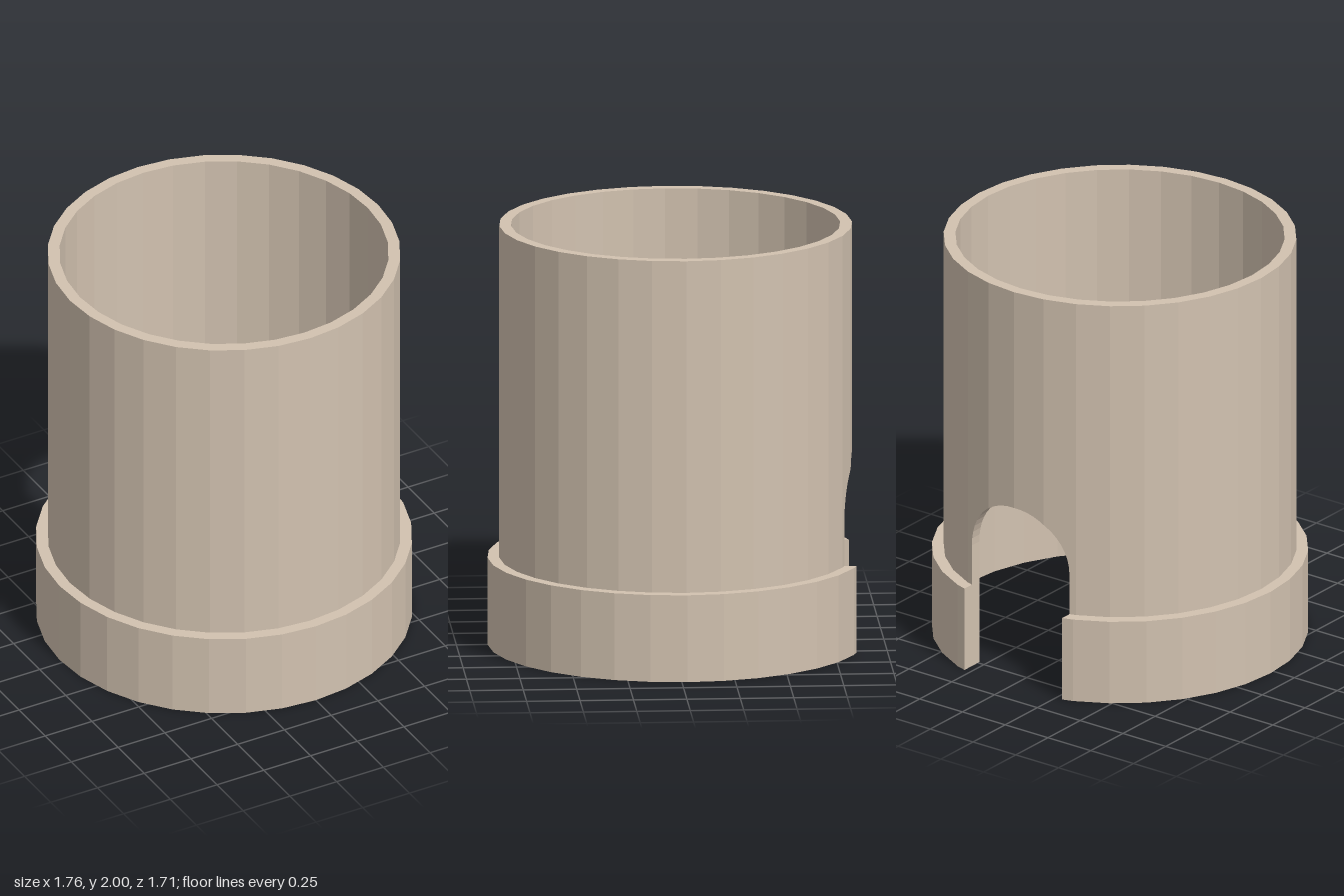
import * as THREE from 'three';

const SIDES = 32, STEP = (Math.PI * 2) / SIDES;
const ZC = -0.0256;                       // axis of the tube
const R_IN = 0.77, R_TUBE = 0.825, R_BASE = 0.88;
const SHELF = 0.415, TOP = 2;
const HALF = 0.285, SPRING = 0.615;       // notch half width, height where its arch begins

// z of a 32-sided ring's rear wall at a given x
function backZ(r, x) {
  const k = Math.floor(Math.asin(Math.abs(x) / r) / STEP + 1e-6);
  const x0 = r * Math.sin(k * STEP), x1 = r * Math.sin((k + 1) * STEP);
  const t = (Math.abs(x) - x0) / (x1 - x0);
  return ZC - r * THREE.MathUtils.lerp(Math.cos(k * STEP), Math.cos((k + 1) * STEP), t);
}

// ring outline from one notch edge round the front to the other
function ringPath(r, y) {
  const pts = [new THREE.Vector3(-HALF, y, backZ(r, HALF))];
  for (let k = -SIDES / 2 + 1; k < SIDES / 2; k++) {
    const x = r * Math.sin(k * STEP), z = r * Math.cos(k * STEP);
    if (z < 0 && Math.abs(x) < HALF) continue;
    pts.push(new THREE.Vector3(x, y, z + ZC));
  }
  pts.push(new THREE.Vector3(HALF, y, backZ(r, HALF)));
  return pts;
}

// columns across the notch, including the corners of both walls
const archX = [];
for (let i = 0; i <= 24; i++) archX.push(HALF * Math.cos((i / 24) * Math.PI));
for (const r of [R_IN, R_TUBE]) archX.push(r * Math.sin(STEP), -r * Math.sin(STEP));
archX.sort((a, b) => b - a);

const archY = (x) => SPRING + Math.sqrt(Math.max(0, HALF * HALF - x * x));
const archPath = (r, yOf) => archX.map((x) => new THREE.Vector3(x, yOf(x), backZ(r, x)));

// flat-faced surface from strips, each joining two rows of points
function surface(strips) {
  const pos = [];
  for (const [a, b] of strips) {
    for (let i = 0; i < a.length - 1; i++) {
      for (const p of [a[i], a[i + 1], b[i + 1], a[i], b[i + 1], b[i]]) pos.push(p.x, p.y, p.z);
    }
  }
  const g = new THREE.BufferGeometry();
  g.setAttribute('position', new THREE.Float32BufferAttribute(pos, 3));
  g.computeVertexNormals();
  return g;
}

export function createModel() {
  const group = new THREE.Group();
  group.name = 'notchedSleeve';
  const tan = new THREE.MeshStandardMaterial({ color: 0xd2c2b0, side: THREE.DoubleSide });
  tan.name = 'warmTan';

  const add = (name, strips) => {
    const mesh = new THREE.Mesh(surface(strips), tan);
    mesh.name = name;
    group.add(mesh);
  };
  const top = () => TOP;

  // tube walls, each with the arched notch at the rear
  add('tubeOuterWall', [
    [ringPath(R_TUBE, SHELF), ringPath(R_TUBE, TOP)],
    [archPath(R_TUBE, archY), archPath(R_TUBE, top)],
  ]);
  add('tubeInnerWall', [
    [ringPath(R_IN, TOP), ringPath(R_IN, SHELF)],
    [archPath(R_IN, top), archPath(R_IN, archY)],
  ]);
  add('tubeRim', [
    [ringPath(R_TUBE, TOP), ringPath(R_IN, TOP)],
    [archPath(R_TUBE, top), archPath(R_IN, top)],
  ]);
  add('notchArch', [[archPath(R_IN, archY), archPath(R_TUBE, archY)]]);

  // thin skirt around the foot, with the shelf that joins it to the tube
  add('baseSkirt', [[ringPath(R_BASE, 0), ringPath(R_BASE, SHELF)]]);
  add('baseShelf', [[ringPath(R_BASE, SHELF), ringPath(R_TUBE, SHELF)]]);

  // straight sides of the notch
  for (const side of [-1, 1]) {
    const row = (y, rOut) => {
      const pts = [R_IN, rOut].map((r) => new THREE.Vector3(side * HALF, y, backZ(r, HALF)));
      return side > 0 ? pts.reverse() : pts;
    };
    add(side > 0 ? 'leftNotchSide' : 'rightNotchSide', [
      [row(0, R_BASE), row(SHELF, R_BASE)],
      [row(SHELF, R_TUBE), row(SPRING, R_TUBE)],
    ]);
  }
  return group;
}
